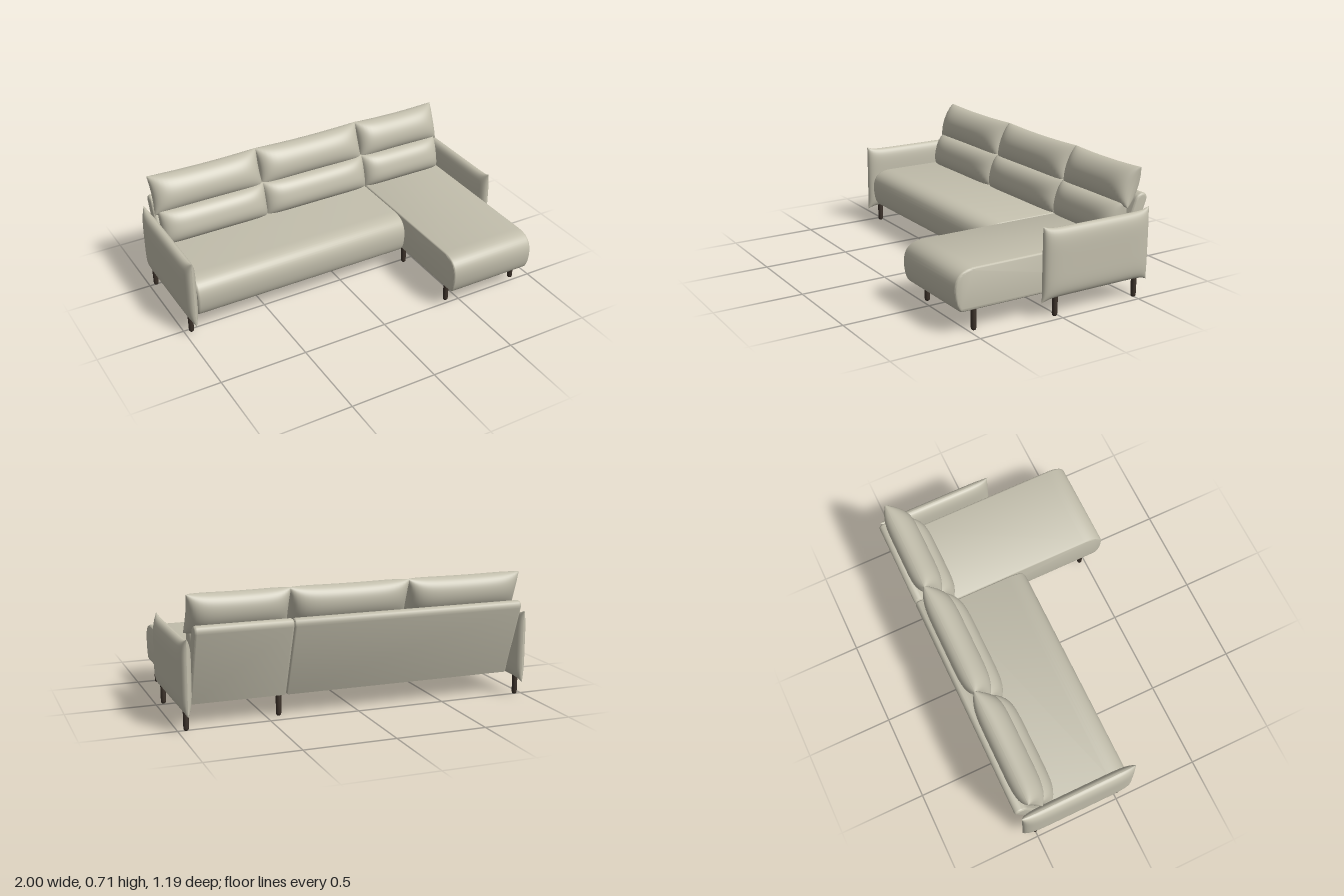
import * as THREE from 'three';
import { toCreasedNormals } from 'three/addons/utils/BufferGeometryUtils.js';

const fabric = new THREE.MeshStandardMaterial({ color: 0xc2beac });
fabric.name = 'beigeFabric';
const wood = new THREE.MeshStandardMaterial({ color: 0x3a3028 });
wood.name = 'darkWood';

function add(parent, name, geometry, material) {
  const mesh = new THREE.Mesh(geometry, material);
  mesh.name = name;
  parent.add(mesh);
  return mesh;
}

// Side profile (z, y) stretched from x0 to x1 with softly rounded ends
function profileBlock(shape, x0, x1) {
  const b = 0.014, depth = x1 - x0 - 2 * b;
  const geo = new THREE.ExtrudeGeometry(shape, {
    depth, bevelEnabled: true, bevelSize: b, bevelThickness: b,
    bevelOffset: -b, bevelSegments: 4, curveSegments: 12,
  });
  geo.translate(0, 0, -depth / 2).rotateY(-Math.PI / 2).translate((x0 + x1) / 2, 0, 0);
  return toCreasedNormals(geo, 0.7);
}

// Rounded-front seat profile
function seatProfile(front) {
  const s = new THREE.Shape();
  s.moveTo(-0.42, 0.122);
  s.lineTo(front - 0.045, 0.122);
  s.bezierCurveTo(front - 0.015, 0.122, front, 0.19, front, 0.24);
  s.bezierCurveTo(front, 0.31, front - 0.04, 0.345, front - 0.12, 0.345);
  s.lineTo(-0.42, 0.345);
  s.closePath();
  return s;
}

// Leaning backrest profile
function backProfile() {
  const s = new THREE.Shape();
  s.moveTo(-0.45, 0.122);
  s.lineTo(-0.37, 0.122);
  s.lineTo(-0.52, 0.525);
  s.bezierCurveTo(-0.535, 0.575, -0.61, 0.575, -0.596, 0.52);
  s.closePath();
  return s;
}

// Two bulging faces that meet in a seam; pinch pulls the edge middles inwards
function pillow({ w, h, t, powU, powV, pinchU, pinchV, pinchPow }) {
  const n = 28, pos = [], idx = [];
  for (const side of [1, -1]) {
    const base = pos.length / 3;
    for (let j = 0; j <= n; j++) for (let i = 0; i <= n; i++) {
      const u = Math.sin((i / n - 0.5) * Math.PI), v = Math.sin((j / n - 0.5) * Math.PI);
      const bulge = Math.sqrt(Math.max(0, 1 - Math.abs(u) ** powU) * Math.max(0, 1 - Math.abs(v) ** powV));
      pos.push(
        (w / 2) * u * (1 - pinchU * (1 - Math.abs(v) ** pinchPow)),
        (h / 2) * v * (1 - pinchV * (1 - Math.abs(u) ** pinchPow)),
        side * (t / 2) * bulge);
      if (i < n && j < n) {
        const a = base + j * (n + 1) + i, b = a + 1, c = a + n + 1, d = c + 1;
        if (side > 0) idx.push(a, b, d, a, d, c);
        else idx.push(a, d, b, a, c, d);
      }
    }
  }
  const geo = new THREE.BufferGeometry();
  geo.setAttribute('position', new THREE.Float32BufferAttribute(pos, 3));
  geo.setIndex(idx);
  geo.computeVertexNormals();
  return geo;
}

export function createModel() {
  const sofa = new THREE.Group();
  sofa.name = 'cornerSofa';

  // Seats and backrests
  add(sofa, 'mainSeat', profileBlock(seatProfile(0.085), -0.93, 0.395), fabric);
  add(sofa, 'chaiseSeat', profileBlock(seatProfile(0.595), 0.395, 0.922), fabric);
  add(sofa, 'mainBackrest', profileBlock(backProfile(), -0.93, 0.395), fabric);
  add(sofa, 'chaiseBackrest', profileBlock(backProfile(), 0.395, 0.922), fabric);

  // Arms with flared corners
  const armGeo = pillow({
    w: 0.686, h: 0.41, t: 0.08, powU: 8, powV: 5, pinchU: 0.015, pinchV: 0.095, pinchPow: 10,
  });
  for (const [name, x] of [['leftArm', 0.96], ['rightArm', -0.96]]) {
    const arm = add(sofa, name, armGeo, fabric);
    arm.rotation.y = Math.PI / 2;
    arm.position.set(x, 0.295, -0.235);
  }

  // Back cushions: each a lower roll and an upper pillow
  const spans = [[-0.945, -0.268], [-0.28, 0.402], [0.39, 0.945]];
  spans.forEach(([x0, x1], i) => {
    const cushion = new THREE.Group();
    cushion.name = 'backCushion' + (i + 1);
    sofa.add(cushion);
    const upper = add(cushion, 'upperPillow', pillow({
      w: x1 - x0, h: 0.228, t: 0.162, powU: 6, powV: 2, pinchU: 0.03, pinchV: 0.07, pinchPow: 2,
    }), fabric);
    upper.position.set((x0 + x1) / 2, 0.608, -0.484);
    upper.rotation.x = -0.36;
    const l0 = Math.max(x0, -0.928), l1 = Math.min(x1, 0.925);
    const lower = add(cushion, 'lowerPillow', pillow({
      w: l1 - l0, h: 0.21, t: 0.165, powU: 6, powV: 2.4, pinchU: 0.01, pinchV: 0.02, pinchPow: 2,
    }), fabric);
    lower.position.set((l0 + l1) / 2, 0.428, -0.417);
    lower.rotation.x = -0.25;
  });

  // Round-footed legs
  const legGeo = new THREE.LatheGeometry([
    [0, 0], [0.009, 0.001], [0.013, 0.006], [0.0145, 0.015], [0.0155, 0.135], [0, 0.135],
  ].map(([r, y]) => new THREE.Vector2(r, y)), 16);
  const spots = [
    [-0.96, 0.02], [-0.96, -0.5], [0.955, 0.02], [0.955, -0.5],
    [0.43, 0.47], [0.89, 0.47], [0.43, 0.02], [0.43, -0.42],
  ];
  spots.forEach(([x, z], i) => {
    add(sofa, 'leg' + (i + 1), legGeo, wood).position.set(x, 0.003, z);
  });

  return sofa;
}
